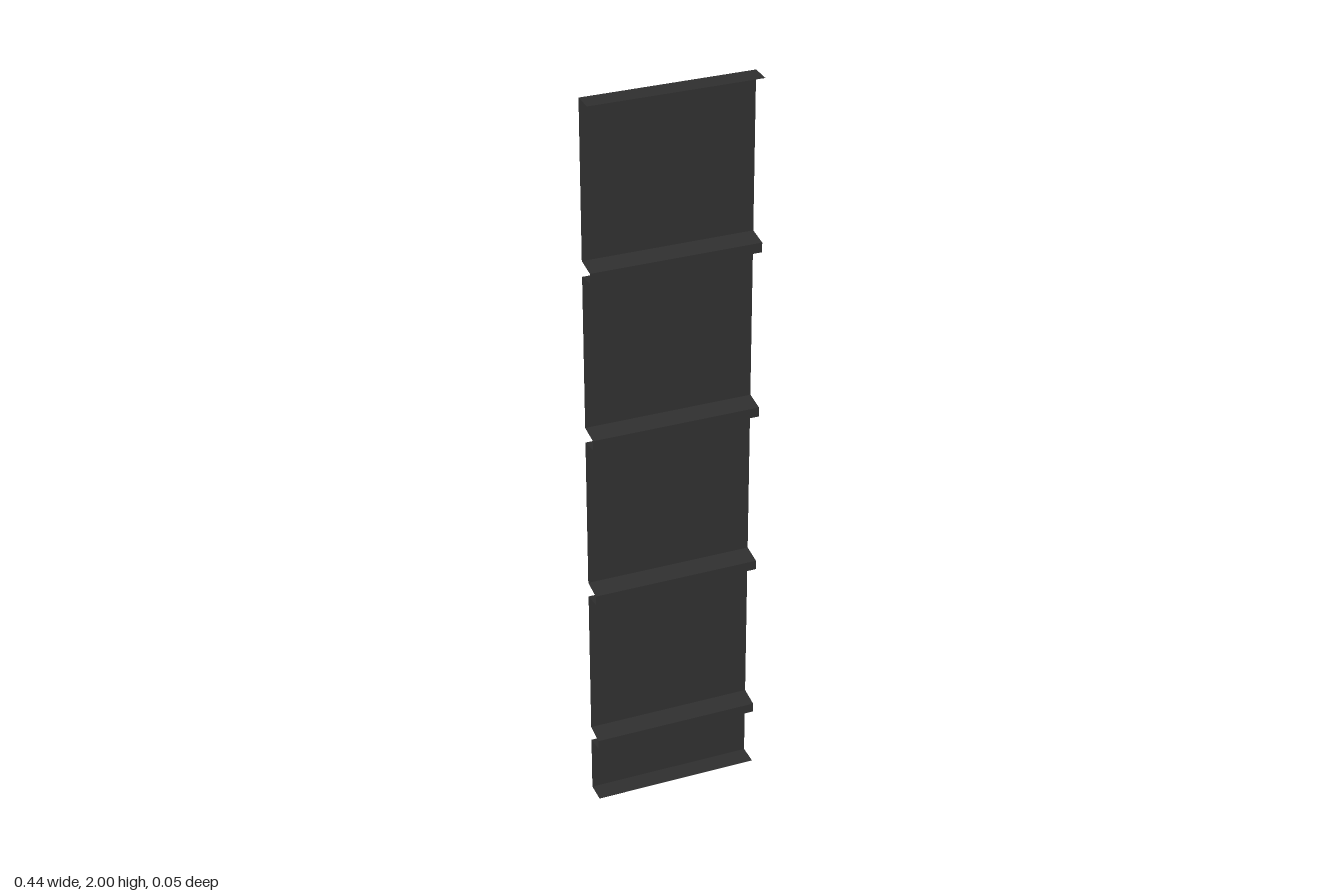
import * as THREE from 'three';

const HALF_WIDTH = 0.222;
const BACK = -0.028, FRONT = 0.027;

// Folded sheet: sweeps a [z, y] profile across the full width, with hard folds
function foldedSheet(name, profile, material) {
  const pos = [];
  for (let i = 0; i < profile.length - 1; i++) {
    const [z0, y0] = profile[i], [z1, y1] = profile[i + 1];
    const a = [-HALF_WIDTH, y0, z0], b = [HALF_WIDTH, y0, z0];
    const c = [HALF_WIDTH, y1, z1], d = [-HALF_WIDTH, y1, z1];
    pos.push(...a, ...b, ...c, ...a, ...c, ...d);
  }
  const geometry = new THREE.BufferGeometry();
  geometry.setAttribute('position', new THREE.Float32BufferAttribute(pos, 3));
  geometry.computeVertexNormals();
  const mesh = new THREE.Mesh(geometry, material);
  mesh.name = name;
  return mesh;
}

export function createModel() {
  const group = new THREE.Group();
  group.name = 'ribbedSheetPanel';
  const metal = new THREE.MeshStandardMaterial({ color: 0x2e2e2e, side: THREE.DoubleSide });
  metal.name = 'darkSheetMetal';

  // Flanges folded forward at both ends
  group.add(foldedSheet('bottomFlange', [[FRONT, 0], [BACK, 0]], metal));
  group.add(foldedSheet('topFlange', [[BACK, 2], [FRONT, 2]], metal));

  // Flat panels alternating with four forward-pressed ribs
  let panelStart = 0;
  for (let i = 0; i < 4; i++) {
    const y = 0.179 + i * 0.4603;
    group.add(foldedSheet('flatPanel', [[BACK, panelStart], [BACK, y - 0.021]], metal));
    group.add(foldedSheet('rib', [
      [BACK, y - 0.021], [FRONT, y - 0.013], [FRONT, y + 0.013], [BACK, y + 0.021],
    ], metal));
    panelStart = y + 0.021;
  }
  group.add(foldedSheet('flatPanel', [[BACK, panelStart], [BACK, 2]], metal));
  return group;
}
